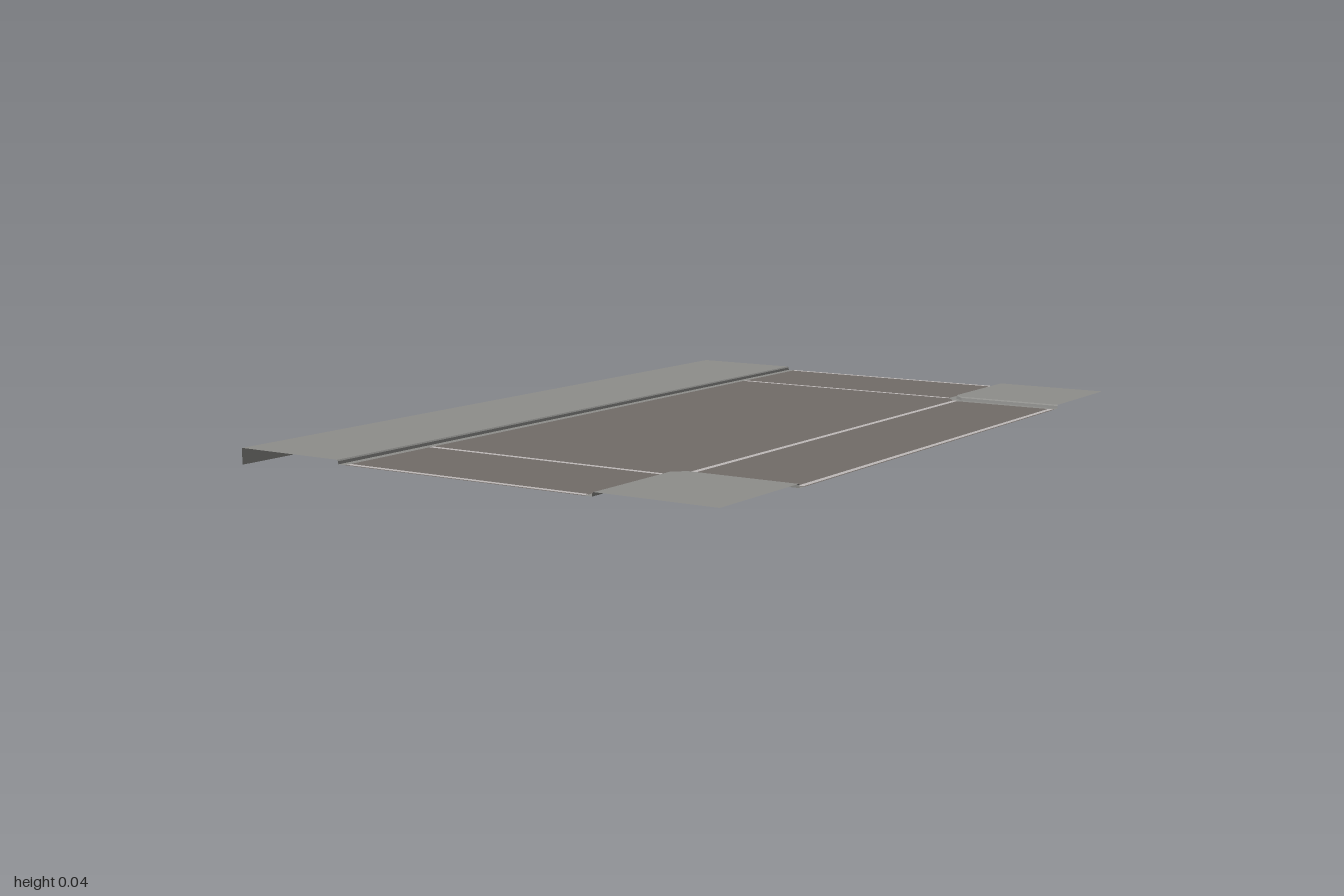
import * as THREE from 'three';

const W = 0.665, L = 1, ROAD_Y = 0.03, WALK_Y = 0.04;
const T = Math.tan(Math.PI / 8);

function material(name, color) {
  const m = new THREE.MeshStandardMaterial({ color, side: THREE.DoubleSide, flatShading: true });
  m.name = name;
  return m;
}

// Flat horizontal polygon from [x, z] corners
function flat(name, points, y, mat) {
  const shape = new THREE.Shape(points.map(([x, z]) => new THREE.Vector2(x, -z)));
  const geo = new THREE.ShapeGeometry(shape).rotateX(-Math.PI / 2).translate(0, y, 0);
  const mesh = new THREE.Mesh(geo, mat);
  mesh.name = name;
  return mesh;
}

function rect(name, x0, x1, z0, z1, y, mat) {
  return flat(name, [[x0, z0], [x1, z0], [x1, z1], [x0, z1]], y, mat);
}

// Sheet swept along an edge: path(d) gives the edge moved d away from the road
function sweep(name, path, profile, mat) {
  const pos = [], index = [];
  let n = 0;
  for (const [d, y] of profile) {
    const row = path(d);
    n = row.length;
    for (const [x, z] of row) pos.push(x, y, z);
  }
  for (let i = 0; i < profile.length - 1; i++) {
    for (let j = 0; j < n - 1; j++) {
      const a = i * n + j, b = a + 1, c = a + n, e = c + 1;
      index.push(a, b, c, b, e, c);
    }
  }
  const geo = new THREE.BufferGeometry();
  geo.setAttribute('position', new THREE.Float32BufferAttribute(pos, 3));
  geo.setIndex(index);
  geo.computeVertexNormals();
  const mesh = new THREE.Mesh(geo, mat);
  mesh.name = name;
  return mesh;
}

export function createModel() {
  const asphalt = material('asphalt', 0x726c68);
  const concrete = material('concrete', 0x8e8e8b);
  const paint = material('road paint', 0xbebab8);
  const model = new THREE.Group();
  model.name = 'roadJunction';

  // Kerb edges: the straight side and the two chamfered corners
  const straight = (d) => [[-0.36 - d, -L], [-0.36 - d, L]];
  const corner = (s) => (d) => {
    const row = [[0.35 + d, L], [0.35 + d, 0.715 + T * d], [0.38 + T * d, 0.685 + d], [W, 0.685 + d]]
      .map(([x, z]) => [x, s * z]);
    return s > 0 ? row : row.reverse();
  };

  // Asphalt surface inside the gutters
  const far = corner(-1)(-0.02), near = corner(1)(-0.02);
  model.add(flat('roadSurface', [[-0.34, -L], ...[...far].reverse(), ...[...near].reverse(), [-0.34, L]], ROAD_Y, asphalt));

  // Gutter, kerb face and rounded kerb top
  const gutter = [[-0.02, ROAD_Y], [0, ROAD_Y]];
  const kerb = [[0, ROAD_Y], [0.001, 0.037], [0.004, WALK_Y], [0.015, WALK_Y]];
  for (const [label, path] of [['straight', straight], ['backCorner', corner(-1)], ['frontCorner', corner(1)]]) {
    model.add(sweep(label + 'Gutter', path, gutter, concrete));
    model.add(sweep(label + 'Kerb', path, kerb, concrete));
  }

  // Pavements
  model.add(rect('longPavement', -W, -0.375, -L, L, WALK_Y, concrete));
  for (const s of [-1, 1]) {
    model.add(flat(s < 0 ? 'backCornerPavement' : 'frontCornerPavement',
      [...corner(s)(0.015), [W, s * L]], WALK_Y, concrete));
  }

  // Outer skirt of the long pavement
  const skirt = new THREE.Mesh(new THREE.PlaneGeometry(2 * L, WALK_Y), concrete);
  skirt.rotation.y = -Math.PI / 2;
  skirt.position.set(-W, WALK_Y / 2, 0);
  skirt.name = 'pavementSkirt';
  model.add(skirt);

  // Painted lines across each arm: at the junction and at the tile edge
  const y = ROAD_Y + 0.0008;
  for (const s of [-1, 1]) {
    for (const [label, z] of [['junctionLine', 0.706], ['edgeLine', 0.991]]) {
      model.add(rect(label, -0.337, 0.33, s * z - 0.007, s * z + 0.007, y, paint));
    }
  }
  model.add(rect('sideJunctionLine', 0.363, 0.378, -0.668, 0.668, y, paint));
  model.add(rect('sideEdgeLine', 0.648, 0.662, -0.665, 0.665, y, paint));
  return model;
}
